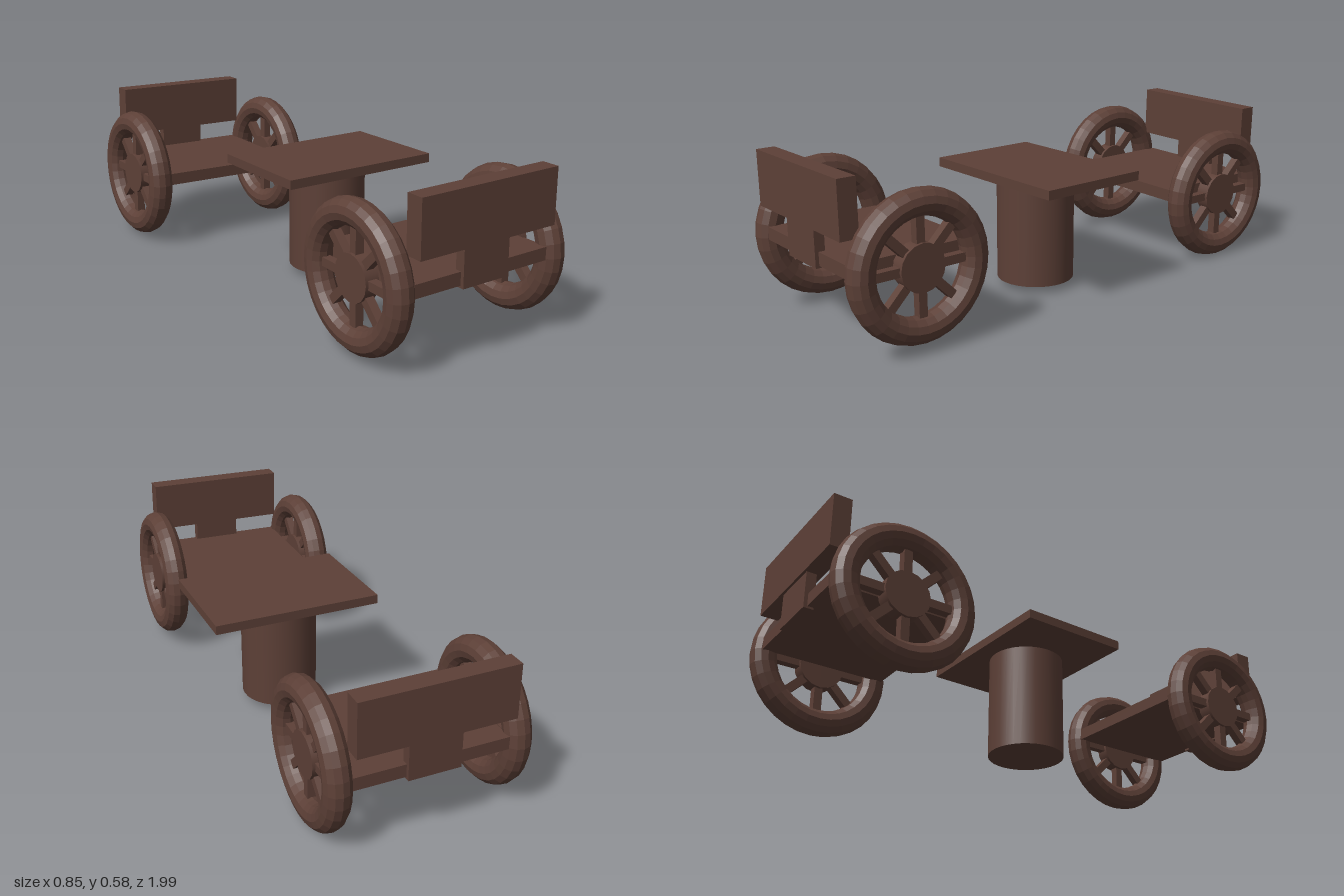
import * as THREE from 'three';

const brown = new THREE.MeshStandardMaterial({ color: 0x5d4037 });
const brownFlat = new THREE.MeshStandardMaterial({ color: 0x5d4037, flatShading: true });

function add(parent, name, geometry, x, y, z, material = brown) {
  const mesh = new THREE.Mesh(geometry, material);
  mesh.name = name;
  mesh.position.set(x, y, z);
  parent.add(mesh);
  return mesh;
}

// Wheel lying in the local xy plane: tyre, hub and eight spokes
function makeWheel(name) {
  const wheel = new THREE.Group();
  wheel.name = name;
  add(wheel, 'tyre', new THREE.TorusGeometry(0.205, 0.046, 12, 32), 0, 0, 0, brownFlat);
  add(wheel, 'hub', new THREE.CylinderGeometry(0.08, 0.08, 0.05, 16), 0, 0, 0).rotation.x = Math.PI / 2;
  for (let i = 0; i < 8; i++) {
    const a = (i * Math.PI) / 4;
    const spoke = add(wheel, 'spoke', new THREE.BoxGeometry(0.12, 0.03, 0.03),
      Math.cos(a) * 0.12, Math.sin(a) * 0.12, 0);
    spoke.rotation.z = a;
  }
  wheel.rotation.y = Math.PI / 2;
  return wheel;
}

// Wheeled chair around its axle centre, with the backrest towards +z
function makeChair(name) {
  const chair = new THREE.Group();
  chair.name = name;
  add(chair, 'seat', new THREE.BoxGeometry(0.53, 0.045, 0.45), 0, 0.018, 0);
  add(chair, 'backPost', new THREE.BoxGeometry(0.18, 0.13, 0.035), 0, 0.053, 0.22);
  add(chair, 'backrest', new THREE.BoxGeometry(0.535, 0.19, 0.064), 0.004, 0.213, 0.214);
  for (const side of [-1, 1]) {
    const wheel = makeWheel(side > 0 ? 'leftWheel' : 'rightWheel');
    wheel.position.x = side * 0.305;
    chair.add(wheel);
  }
  return chair;
}

export function createModel() {
  const model = new THREE.Group();
  model.name = 'tableWithWheeledChairs';

  // Two chairs facing each other across the table, each leaning slightly
  const frontChair = makeChair('frontChair');
  frontChair.position.set(-0.053, 0.274, 0.709);
  frontChair.rotation.set(0, -0.115, 0.014, 'YXZ');
  const backChair = makeChair('backChair');
  backChair.position.set(0.05, 0.257, -0.713);
  backChair.rotation.set(0, Math.PI - 0.115, 0.016, 'YXZ');

  // Table on a drum pedestal
  const table = new THREE.Group();
  table.name = 'table';
  table.position.set(0.077, 0, 0.054);
  table.rotation.y = -0.095;
  add(table, 'tableTop', new THREE.BoxGeometry(0.615, 0.033, 0.415), 0, 0.433, 0);
  add(table, 'pedestal', new THREE.CylinderGeometry(0.14, 0.14, 0.39, 32), -0.006, 0.225, 0);

  model.add(frontChair, backChair, table);
  return model;
}
